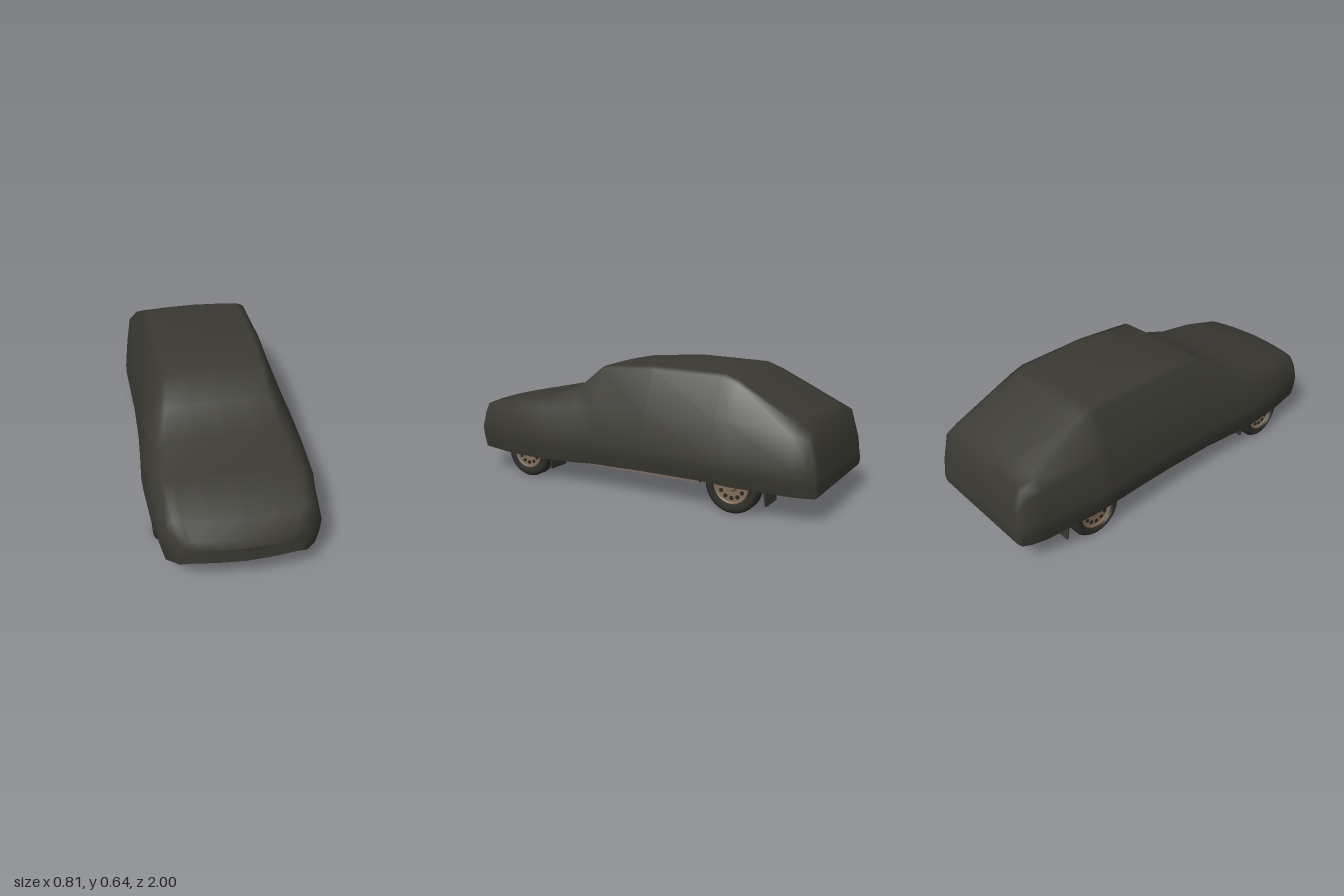
import * as THREE from 'three';

const paint = (name, color, side = THREE.FrontSide) => {
  const m = new THREE.MeshStandardMaterial({ color, side });
  m.name = name;
  return m;
};

export function createModel() {
  const group = new THREE.Group();
  const cloth = paint('cover cloth', 0x393831, THREE.DoubleSide);
  const rubber = paint('tyre rubber', 0x2e2d28);
  const dark = paint('dark underside', 0x262823);
  const steel = paint('chassis steel', 0x34352f);
  const tan = paint('rim tan', 0x806c59);
  const rust = paint('rust', 0x6a3d2b);

  const add = (name, geo, mat, x = 0, y = 0, z = 0, parent = group) => {
    const m = new THREE.Mesh(geo, mat);
    m.name = name;
    m.position.set(x, y, z);
    parent.add(m);
    return m;
  };
  const box = (name, mat, w, h, d, x, y, z) => add(name, new THREE.BoxGeometry(w, h, d), mat, x, y, z);
  const tube = (name, mat, r, pts, segs = 24) => {
    const path = new THREE.CurvePath();
    const v = pts.map(p => new THREE.Vector3(...p));
    for (let i = 1; i < v.length; i++) path.add(new THREE.LineCurve3(v[i - 1], v[i]));
    return add(name, new THREE.TubeGeometry(path, segs, r, 8), mat);
  };

  // Draped cover, nose to tail: z, top height, roof half-width, roof edge drop,
  // belt half-width, belt height, widest half-width, hem height
  const stations = [
    [1.0, .245, .2, .007, .23, .228, .245, .17],
    [.985, .285, .25, .008, .28, .26, .3, .145],
    [.935, .36, .3, .008, .335, .315, .36, .122],
    [.7, .41, .32, .015, .367, .355, .388, .113],
    [.48, .442, .315, .017, .367, .385, .403, .115],
    [.28, .52, .29, .022, .36, .415, .393, .12],
    [.15, .617, .275, .012, .357, .42, .388, .128],
    [-.15, .645, .286, .025, .36, .425, .388, .133],
    [-.52, .635, .281, .024, .367, .425, .404, .138],
    [-.59, .607, .282, .02, .364, .425, .4, .13],
    [-.88, .457, .3, .015, .35, .395, .372, .123],
    [-.95, .42, .3, .012, .327, .375, .348, .12],
    [-.985, .29, .295, .005, .315, .27, .328, .12],
    [-1.0, .19, .285, .003, .302, .18, .315, .135],
  ];
  const rings = stations.map(([z, top, roofX, drop, beltX, beltY, wideX, hem]) => {
    const wideY = Math.min(.25, top * .6 + .05);
    const half = [[wideX * .94, hem], [wideX * .985, (hem + wideY) / 2], [wideX, wideY], [beltX, beltY],
      [roofX, top - drop], [roofX * .88, top - drop * .5], [roofX * .5, top - drop * .2]];
    const bow = .037 * THREE.MathUtils.smoothstep(z, .6, .95);
    return [...half, [0, top], ...half.map(([x, y]) => [-x, y]).reverse()]
      .map(([x, y]) => [x, y, z - bow * (x / .3) ** 2]);
  });
  // Close both ends by folding the end rings onto the centre line
  const fold = (ring, z) => ring.map(([, y]) => [0, y, z]);
  rings.unshift(fold(rings[0], 1.0));
  rings.push(fold(rings[rings.length - 1], -1.0));
  const n = rings[0].length, index = [];
  for (let i = 0; i < rings.length - 1; i++) {
    for (let j = 0; j < n - 1; j++) {
      const a = i * n + j, b = a + 1, c = a + n, d = c + 1;
      index.push(a, c, b, b, c, d);
    }
  }
  const coverGeo = new THREE.BufferGeometry();
  coverGeo.setAttribute('position', new THREE.Float32BufferAttribute(rings.flat(2), 3));
  coverGeo.setIndex(index);
  coverGeo.computeVertexNormals();
  add('carCover', coverGeo, cloth);

  // Cloth tucked down and back under the nose
  const tuck = new THREE.PlaneGeometry(.58, 1, 24, 3);
  const tp = tuck.attributes.position;
  for (let i = 0; i < tp.count; i++) {
    const x = tp.getX(i), v = .5 - tp.getY(i);
    const corner = THREE.MathUtils.smoothstep(Math.abs(x), .21, .29);
    const topY = .172 - .027 * corner, topZ = 1 - .037 * (x / .3) ** 2 - .015 * corner;
    tp.setY(i, THREE.MathUtils.lerp(topY, .138, v));
    tp.setZ(i, topZ - .06 * v);
  }
  tuck.computeVertexNormals();
  add('noseTuck', tuck, cloth);

  // Wheels: rounded tyre, dished rim with a ring of dark slots, hub
  const tyreProfile = [[.086, -.034], [.112, -.038], [.125, -.033], [.133, -.022],
    [.133, .022], [.125, .033], [.112, .038], [.086, .034], [.086, -.034]]
    .map(p => new THREE.Vector2(...p));
  const tyreGeo = new THREE.LatheGeometry(tyreProfile, 36);
  for (const s of [1, -1]) {
    for (const [label, z] of [['front', .58], ['rear', -.605]]) {
      const wheel = new THREE.Group();
      wheel.name = label + 'Wheel';
      wheel.position.set(s * .328 - .004, .133, z);
      wheel.rotation.z = -s * Math.PI / 2;
      group.add(wheel);
      add('tyre', tyreGeo, rubber, 0, 0, 0, wheel);
      add('rimDisc', new THREE.CylinderGeometry(.088, .088, .05, 32), tan, 0, 0, 0, wheel);
      const lip = add('rimLip', new THREE.TorusGeometry(.083, .006, 6, 32), tan, 0, .03, 0, wheel);
      lip.rotation.x = Math.PI / 2;
      add('hub', new THREE.CylinderGeometry(.022, .03, .014, 16), tan, 0, .031, 0, wheel);
      for (let k = 0; k < 12; k++) {
        const a = k * Math.PI / 6;
        add('rimSlot', new THREE.CylinderGeometry(.01, .01, .004, 8), dark,
          Math.cos(a) * .06, .026, Math.sin(a) * .06, wheel);
      }
      add('brakeDrum', new THREE.CylinderGeometry(.06, .06, .03, 16), steel, 0, -.035, 0, wheel);
      // Mud flap behind each wheel
      const flapZ = label === 'front' ? .425 : -.77;
      const flap = box('mudFlap', steel, .122, .07, .008, s * .298, .097, flapZ);
      flap.rotation.x = label === 'front' ? 0 : .15;
    }
    // Sills, floor rails and raised floor pans
    box('sill', tan, .012, .026, .84, s * .352, .134, -.02);
    box('innerSill', steel, .03, .03, .84, s * .331, .134, -.02);
    box('floorRail', steel, .035, .03, .62, s * .2, .118, .2);
    box('floorPan', steel, .2, .012, .3, s * .2, .141, -.2);
    // Nose corner plates
    box('noseCornerPlate', tan, .08, .008, .05, s * .28, .13, .85);
    // Suspension arms, springs and struts
    tube('frontArm', steel, .011, [[s * .3, .12, .58], [s * .12, .135, .64]], 4);
    tube('frontArmBrace', steel, .009, [[s * .29, .118, .57], [s * .16, .135, .42]], 4);
    tube('rearTrailingArm', steel, .012, [[s * .25, .13, -.6], [s * .22, .135, -.32]], 4);
    add('rearSpring', new THREE.CylinderGeometry(.03, .03, .08, 12), dark, s * .22, .17, -.6);
    box('bodyRail', steel, .03, .03, .3, s * .24, .14, -.78);
    box('frontRail', steel, .03, .03, .36, s * .18, .14, .72);
  }

  // Underbody
  box('floor', dark, .7, .02, .84, 0, .157, -.02);
  box('frontFloor', dark, .5, .02, .52, 0, .175, .65);
  box('rearFloor', dark, .5, .02, .52, 0, .175, -.69);
  box('driveTunnel', steel, .09, .02, .78, .07, .142, 0);
  box('crossMember', steel, .5, .025, .06, 0, .13, .6);
  box('oilPan', dark, .16, .05, .2, -.02, .135, .66);
  box('gearbox', steel, .11, .04, .26, 0, .14, .4);
  box('fuelTank', steel, .28, .04, .16, -.09, .15, -.82);
  box('rearCrossMember', steel, .54, .02, .035, 0, .14, -.92);
  box('rustyFloorPatch', rust, .1, .008, .2, -.265, .142, .06);
  box('rustyRearPatch', rust, .12, .008, .07, -.17, .142, -.39);

  // Axle and drive shaft
  tube('rearAxle', steel, .016, [[-.3, .133, -.605], [.3, .133, -.605]], 4);
  const diff = add('differential', new THREE.SphereGeometry(.045, 16, 10), steel, 0, .135, -.605);
  diff.scale.set(1.1, .8, 1);
  tube('driveShaft', steel, .012, [[0, .14, .3], [0, .137, -.58]], 8);

  // Exhaust line with two silencers
  tube('exhaustPipe', rust, .01, [[-.04, .125, .72], [.1, .12, .7], [.03, .118, .28], [-.01, .118, .1],
    [0, .118, -.24], [.14, .122, -.44], [.17, .165, -.6], [.19, .14, -.75], [.19, .13, -.96]], 80);
  for (const [x, y, z, len, r] of [[0, .122, .13, .2, .036], [.19, .145, -.83, .18, .04]]) {
    const can = add('silencer', new THREE.CylinderGeometry(r, r, len, 16), rust, x, y, z);
    can.rotation.x = Math.PI / 2;
    can.scale.x = 1.2;
    can.scale.z = .6;
  }

  // Curved chin spoiler below the nose
  const chin = new THREE.BoxGeometry(.64, .05, .05, 16, 2, 1);
  const p = chin.attributes.position;
  for (let i = 0; i < p.count; i++) {
    const t = (p.getX(i) / .32) ** 2, low = p.getY(i) < 0 ? 1 : 0;
    p.setZ(i, p.getZ(i) - t * .05 + p.getY(i) * 1.2);
    p.setY(i, p.getY(i) + low * t * .022);
  }
  chin.computeVertexNormals();
  add('chinSpoiler', chin, dark, 0, .11, .86);

  return group;
}
